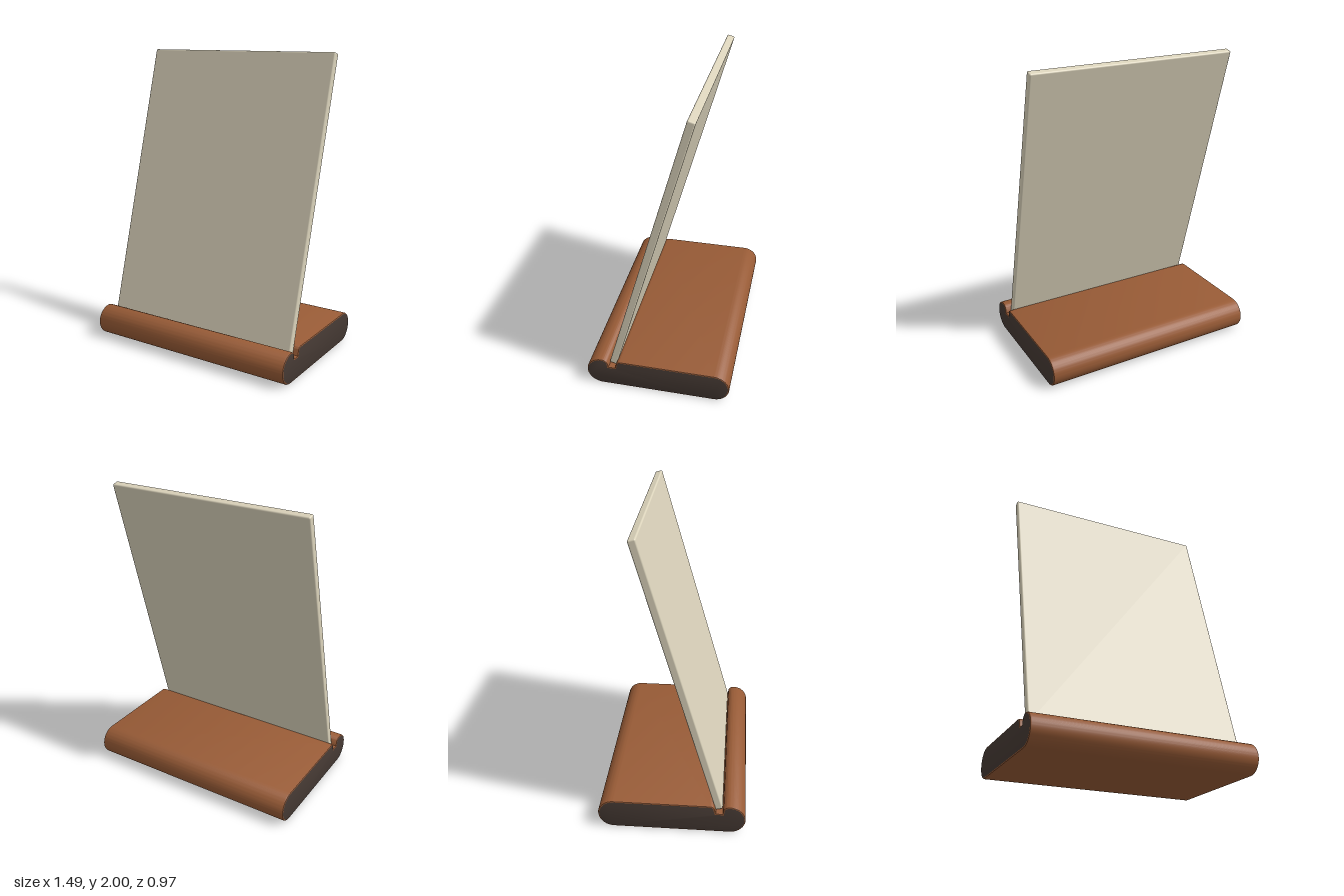
import * as THREE from 'three';
import { RoundedBoxGeometry } from 'three/addons/geometries/RoundedBoxGeometry.js';
import { toCreasedNormals } from 'three/addons/utils/BufferGeometryUtils.js';

const material = (name, color) => {
  const m = new THREE.MeshStandardMaterial({ color });
  m.name = name;
  return m;
};

export function createModel() {
  const wood = material('brown wood', 0x985b36);
  const endGrain = material('dark end grain', 0x453933);
  const cream = material('cream', 0xdbd3bb);
  const group = new THREE.Group();
  group.name = 'cardStand';

  // Base: rounded side profile (depth, height) with a groove near the front
  const r = 0.1025, top = r * 2, half = 0.485;
  const profile = new THREE.Shape();
  profile.moveTo(-half + r, 0);
  profile.lineTo(half - r, 0);
  profile.absarc(half - r, r, r, -Math.PI / 2, Math.PI / 2, false);
  profile.quadraticCurveTo(0.352, top, 0.34, 0.18);
  profile.lineTo(0.335, 0.148);
  profile.lineTo(0.29, 0.148);
  profile.lineTo(0.282, 0.18);
  profile.quadraticCurveTo(0.278, top, 0.25, top);
  profile.lineTo(-half + r, top);
  profile.absarc(-half + r, r, r, Math.PI / 2, Math.PI * 1.5, false);

  // Small bevel keeps the end faces slightly inside the wood edge
  const width = 1.49, bevel = 0.008;
  let baseGeometry = new THREE.ExtrudeGeometry(profile, {
    depth: width - 2 * bevel, curveSegments: 20,
    bevelEnabled: true, bevelSize: bevel, bevelThickness: bevel, bevelOffset: -bevel, bevelSegments: 2,
  });
  baseGeometry.translate(0, 0, -width / 2 + bevel);
  baseGeometry.rotateY(-Math.PI / 2);
  baseGeometry = toCreasedNormals(baseGeometry, 0.6);
  const base = new THREE.Mesh(baseGeometry, [endGrain, wood]);
  base.name = 'base';
  group.add(base);

  // Panel leaning back out of the groove
  const panel = new THREE.Mesh(new RoundedBoxGeometry(1.42, 1.91, 0.05, 3, 0.01), cream);
  panel.name = 'panel';
  panel.position.set(0, 1.075, 0.05);
  panel.rotation.x = -0.277;
  group.add(panel);

  return group;
}
